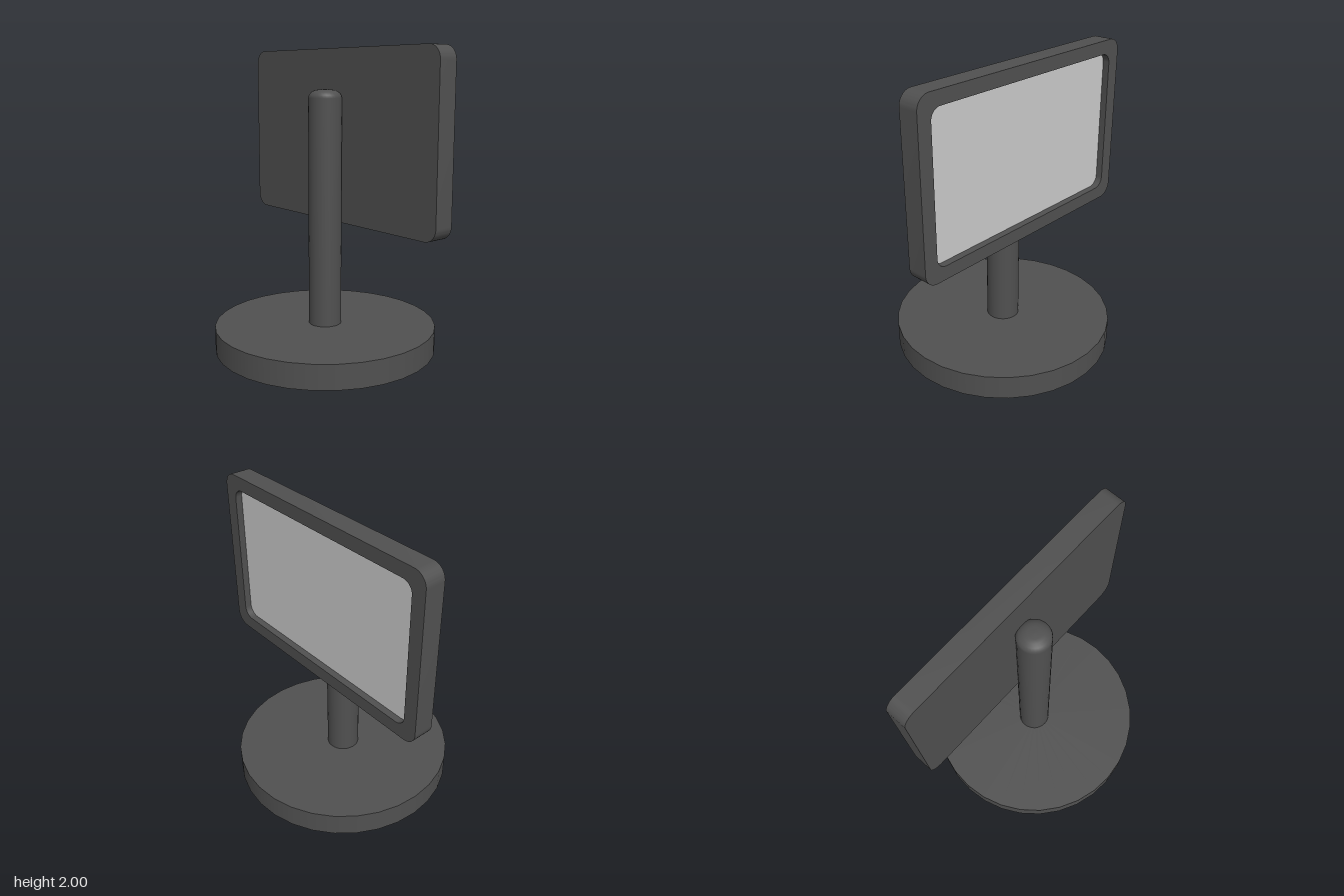
import * as THREE from 'three';
import { toCreasedNormals } from 'three/addons/utils/BufferGeometryUtils.js';

const SEGMENTS = 32;
const BASE_RADIUS = 0.745, BASE_TOP = 0.163, POST_RADIUS = 0.11;

// Rounded rectangle centred on the origin
function roundedRect(width, height, r, Type = THREE.Shape) {
  const x = width / 2, y = height / 2;
  const s = new Type();
  s.moveTo(-x + r, -y);
  s.lineTo(x - r, -y);
  s.absarc(x - r, -y + r, r, -Math.PI / 2, 0);
  s.lineTo(x, y - r);
  s.absarc(x - r, y - r, r, 0, Math.PI / 2);
  s.lineTo(-x + r, y);
  s.absarc(-x + r, y - r, r, Math.PI / 2, Math.PI);
  s.lineTo(-x, -y + r);
  s.absarc(-x + r, -y + r, r, Math.PI, Math.PI * 1.5);
  return s;
}

// Plate extruded along +x
function plate(shape, depth) {
  const geometry = new THREE.ExtrudeGeometry(shape, { depth, bevelEnabled: false, curveSegments: 8 });
  return toCreasedNormals(geometry, 0.6).rotateY(Math.PI / 2);
}

export function createModel() {
  const model = new THREE.Group();
  model.name = 'displayOnStand';
  const dark = new THREE.MeshStandardMaterial({ color: 0x505050 });
  const darkOpen = new THREE.MeshStandardMaterial({ color: 0x505050, side: THREE.DoubleSide });
  const grey = new THREE.MeshStandardMaterial({ color: 0xcccccc });

  function add(parent, name, geometry, material, x = 0, y = 0, z = 0) {
    const mesh = new THREE.Mesh(geometry, material);
    mesh.name = name;
    mesh.position.set(x, y, z);
    parent.add(mesh);
  }

  // Hollow base, open underneath, with a hole where the post begins
  const base = new THREE.Group();
  base.name = 'base';
  model.add(base);
  add(base, 'baseRim',
    new THREE.CylinderGeometry(BASE_RADIUS, BASE_RADIUS, BASE_TOP, SEGMENTS, 1, true),
    darkOpen, 0, BASE_TOP / 2);
  add(base, 'baseTop',
    new THREE.RingGeometry(POST_RADIUS, BASE_RADIUS, SEGMENTS).rotateX(-Math.PI / 2),
    darkOpen, 0, BASE_TOP);

  // Hollow post with a softly rounded top
  const profile = [
    [POST_RADIUS, BASE_TOP], [POST_RADIUS, 1.68], [0.105, 1.7],
    [0.09, 1.718], [0.065, 1.73], [0.04, 1.735], [0, 1.736],
  ].map(([r, y]) => new THREE.Vector2(r, y));
  add(model, 'post', new THREE.LatheGeometry(profile, SEGMENTS), darkOpen);

  // Display: rounded frame with a recessed screen, facing +x
  const display = new THREE.Group();
  display.name = 'display';
  display.position.set(0.09, 1.426, 0);
  model.add(display);
  const frame = roundedRect(1.8, 1.148, 0.09);
  frame.holes.push(roundedRect(1.61, 0.966, 0.07, THREE.Path));
  add(display, 'frame', plate(frame, 0.138), dark);
  const opening = roundedRect(1.61, 0.966, 0.07);
  add(display, 'backPanel', plate(opening, 0.085), dark);
  add(display, 'screen', new THREE.ShapeGeometry(opening, 8).rotateY(Math.PI / 2), grey, 0.092);

  return model;
}
